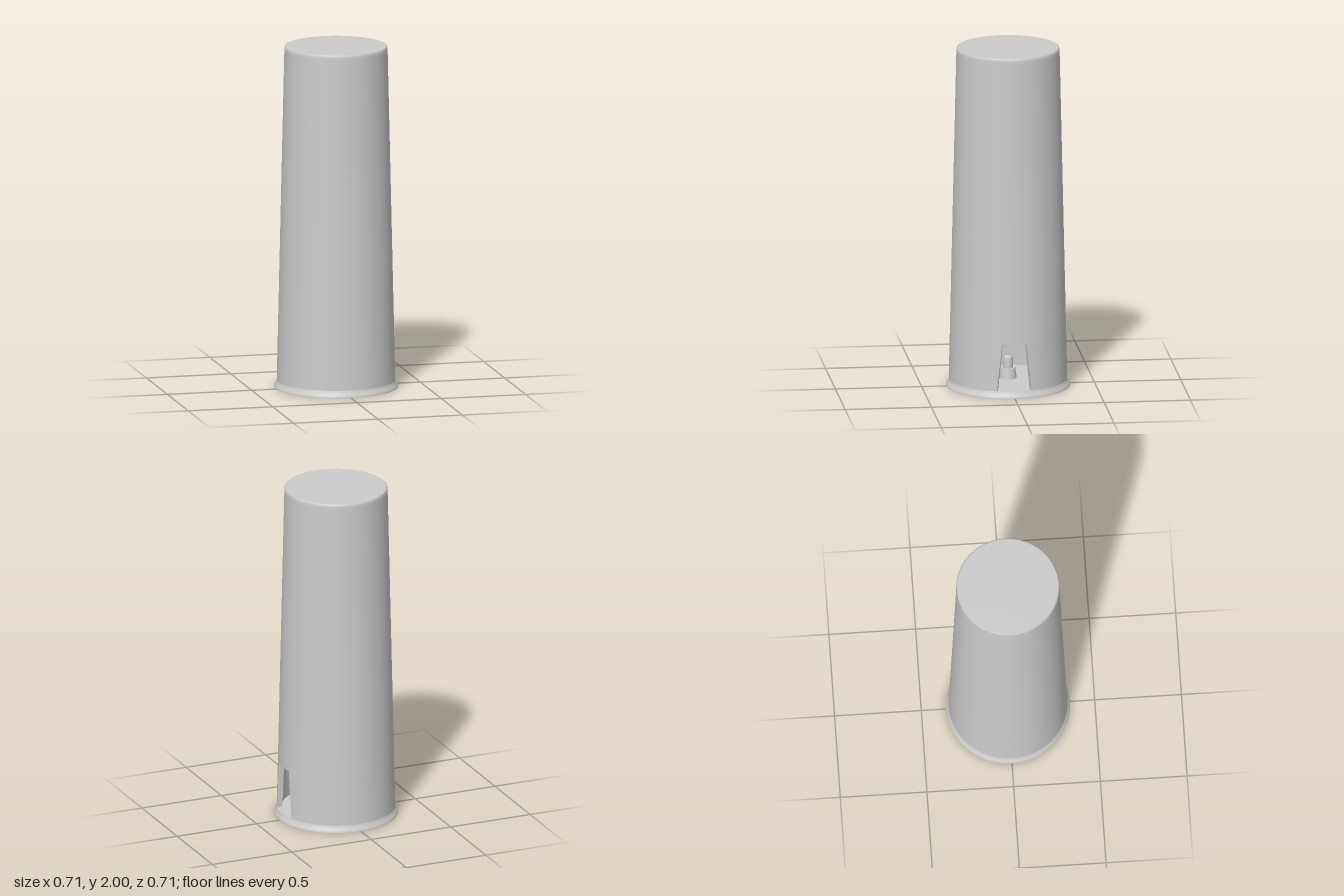
import * as THREE from 'three';

const SEG = 96;
const FLOOR = 0.04, LINTEL = 0.32, WALL = 0.03, CEILING = 1.96;

const grey = new THREE.MeshStandardMaterial({ color: 0xcccccc });
const greyThin = new THREE.MeshStandardMaterial({ color: 0xcccccc, side: THREE.DoubleSide });

// Tapered wall radius and door half-angle at a given height
const outerR = (y) => 0.341 - ((y - FLOOR) / (1.985 - FLOOR)) * 0.044;
const innerR = (y) => outerR(y) - WALL;
const doorAngle = (y) => {
  const t = (y - FLOOR) / (LINTEL - FLOOR);
  return Math.asin((0.1 - 0.03 * t) / outerR(y));
};

function lathe(points, start = 0, length = Math.PI * 2, seg = SEG) {
  return new THREE.LatheGeometry(points.map(([r, y]) => new THREE.Vector2(r, y)), seg, start, length);
}

// Full ring of wall squeezed open at +x to leave the tapering doorway
function wallWithDoor(points) {
  const geo = lathe(points);
  const pos = geo.attributes.position;
  for (let k = 0; k < pos.count; k++) {
    const [r, y] = points[k % points.length];
    const u = Math.floor(k / points.length) / SEG;
    const a = doorAngle(y);
    const phi = Math.PI / 2 + a + u * (Math.PI * 2 - 2 * a);
    pos.setXYZ(k, r * Math.sin(phi), y, r * Math.cos(phi));
  }
  geo.computeVertexNormals();
  return geo;
}

// Side face of the doorway, running through the wall thickness
function jamb(side) {
  const corner = (r, y) => {
    const phi = Math.PI / 2 + side * doorAngle(y);
    return new THREE.Vector3(r * Math.sin(phi), y, r * Math.cos(phi));
  };
  const geo = new THREE.BufferGeometry().setFromPoints([
    corner(innerR(FLOOR), FLOOR), corner(outerR(FLOOR), FLOOR),
    corner(outerR(LINTEL), LINTEL), corner(innerR(LINTEL), LINTEL),
  ]);
  geo.setIndex(side > 0 ? [0, 2, 1, 0, 3, 2] : [0, 1, 2, 0, 2, 3]);
  geo.computeVertexNormals();
  return geo;
}

export function createModel() {
  const model = new THREE.Group();
  model.name = 'tower';
  const add = (name, geo, mat = grey) => {
    const mesh = new THREE.Mesh(geo, mat);
    mesh.name = name;
    model.add(mesh);
  };

  // Flared base with its underside and floor
  add('baseUnderside', lathe([[0, 0], [0.357, 0]]));
  add('baseFlare', lathe([[0.357, 0], [0.357, 0.008], [0.349, 0.02], [0.344, 0.03], [0.341, FLOOR]]));
  add('floor', lathe([[0.341, FLOOR], [0, FLOOR]]));

  // Lower wall, outside and inside, with the doorway
  const levels = [0, 0.25, 0.5, 0.75, 1].map((t) => FLOOR + t * (LINTEL - FLOOR));
  add('lowerWallOutside', wallWithDoor(levels.map((y) => [outerR(y), y])));
  add('lowerWallInside', wallWithDoor([...levels].reverse().map((y) => [innerR(y), y])));

  // Doorway reveals
  for (const side of [-1, 1]) add(side > 0 ? 'frontDoorJamb' : 'backDoorJamb', jamb(side), greyThin);
  const a = doorAngle(LINTEL);
  add('doorLintel', lathe([[innerR(LINTEL), LINTEL], [outerR(LINTEL), LINTEL]],
    Math.PI / 2 - a, 2 * a, 12));

  // Upper wall with softened top edge
  add('upperWallOutside', lathe([
    [outerR(LINTEL), LINTEL], [outerR(1.1), 1.1], [outerR(1.97), 1.97],
    [outerR(1.985), 1.985], [0.294, 1.996], [0.288, 1.999], [0, 2],
  ]));
  add('upperWallInside', lathe([[innerR(CEILING), CEILING], [innerR(LINTEL), LINTEL]]));
  add('ceiling', lathe([[0, CEILING], [innerR(CEILING), CEILING]]));

  // Small stepped pedestal standing in the middle of the room
  add('pedestalFoot', new THREE.CylinderGeometry(0.042, 0.05, 0.06, 24).translate(0, FLOOR + 0.03, 0));
  add('pedestalColumn', lathe([[0.028, 0.1], [0.028, 0.158], [0.02, 0.17], [0, 0.172]], 0, Math.PI * 2, 24));

  return model;
}
